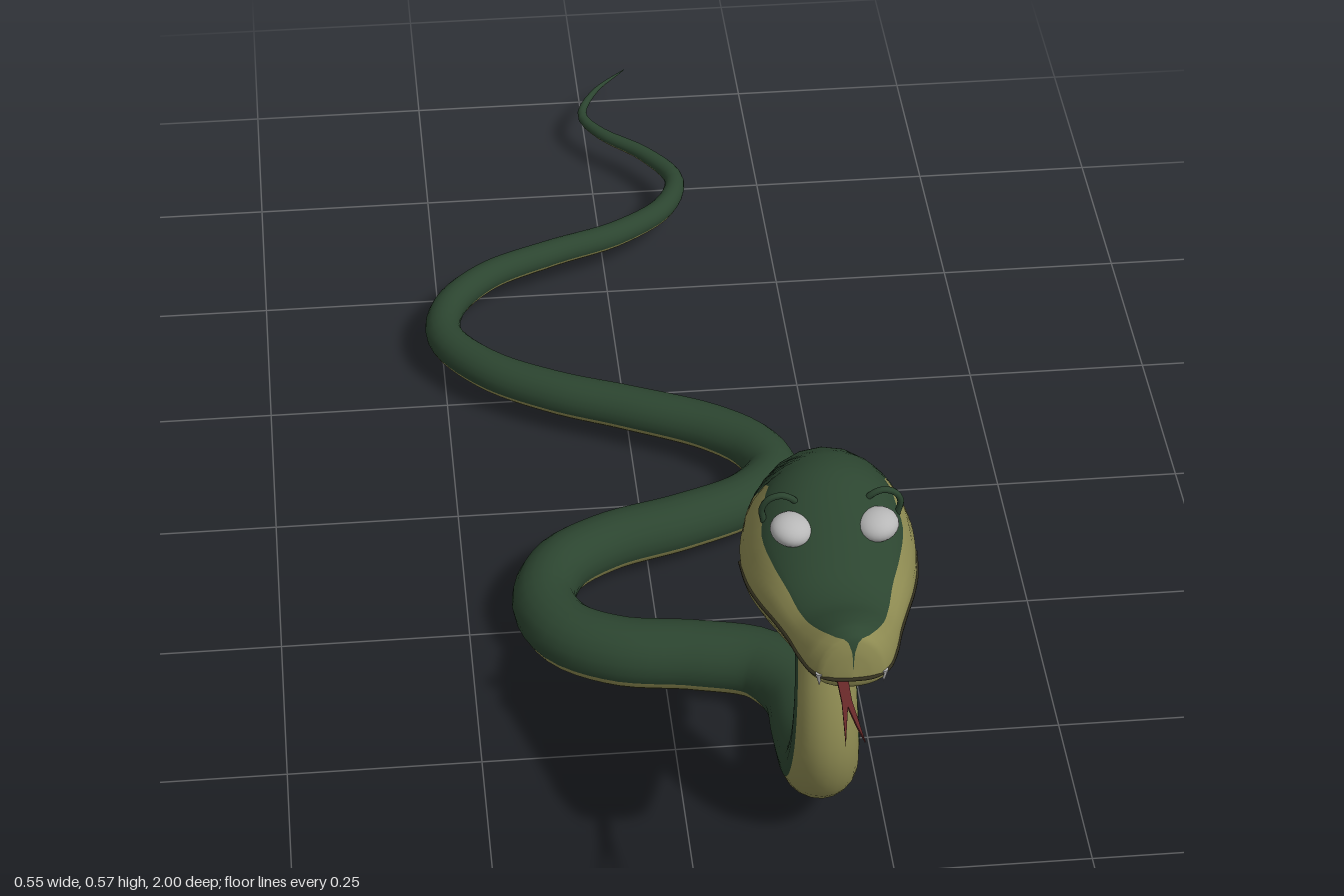
import * as THREE from 'three';

const mat = (name, color) => {
  const m = new THREE.MeshStandardMaterial({ color });
  m.name = name;
  return m;
};

const HEAD_X = 0.166;

// Lofts rings of points; each ring is split at an angle into belly (group 0) and back (group 1).
function loft(rings, a, b) {
  const n = 2 * a + b, pos = [], belly = [], back = [];
  const { lerp } = THREE.MathUtils;
  rings.forEach(({ split, point }) => {
    for (let j = 0; j < n; j++) {
      let t;
      if (j <= a) t = lerp(-Math.PI / 2, split, j / a);
      else if (j <= a + b) t = lerp(split, Math.PI - split, (j - a) / b);
      else t = lerp(Math.PI - split, 1.5 * Math.PI, (j - a - b) / a);
      pos.push(...point(t));
    }
  });
  for (let i = 0; i < rings.length - 1; i++) {
    for (let j = 0; j < n; j++) {
      const k = (j + 1) % n, p = i * n, q = p + n;
      const out = j >= a && j < a + b ? back : belly;
      out.push(p + j, p + k, q + j, p + k, q + k, q + j);
    }
  }
  const geo = new THREE.BufferGeometry();
  geo.setAttribute('position', new THREE.Float32BufferAttribute(pos, 3));
  geo.setIndex([...belly, ...back]);
  geo.addGroup(0, belly.length, 0);
  geo.addGroup(belly.length, back.length, 1);
  geo.computeVertexNormals();
  return geo;
}

// Raised neck followed by the winding body on the ground.
function bodyGeometry() {
  const neck = [[0.425, 0.63], [0.37, 0.645], [0.3, 0.664], [0.23, 0.685], [0.17, 0.687],
    [0.115, 0.662], [0.075, 0.61], [0.055, 0.54]];
  const ground = [[0.163, 0.46], [0.125, 0.4], [0.04, 0.373], [-0.06, 0.355], [-0.125, 0.315],
    [-0.15, 0.25], [-0.125, 0.18], [-0.06, 0.135], [0.05, 0.1], [0.14, 0.06], [0.183, 0.005],
    [0.165, -0.05], [0.11, -0.1], [0, -0.155], [-0.1, -0.2], [-0.19, -0.26], [-0.246, -0.34],
    [-0.238, -0.41], [-0.18, -0.48], [-0.08, -0.53], [0.02, -0.57], [0.095, -0.63],
    [0.118, -0.7], [0.08, -0.77], [0.02, -0.83], [-0.005, -0.88], [0.02, -0.945], [0.07, -1]];
  const curve = new THREE.CatmullRomCurve3([
    ...neck.map(([y, z]) => new THREE.Vector3(HEAD_X, y, z)),
    ...ground.map(([x, z]) => new THREE.Vector3(x, 0.051 - 0.006 * z, z)),
  ]);
  const { smoothstep } = THREE.MathUtils;
  const rings = [], count = 170;
  for (let i = 0; i <= count; i++) {
    const c = curve.getPointAt(i / count), T = curve.getTangentAt(i / count);
    const r = c.z > 0.42
      ? 0.047 - 0.01 * smoothstep(c.y, 0.05, 0.32)
      : 0.047 * Math.pow(Math.max(0, (c.z + 1) / 1.42), 0.8) + 0.0005;
    // The back points up on the ground and backwards on the neck
    const k = smoothstep(c.y, 0.05, 0.24);
    const N = new THREE.Vector3(0, 1 - k, -k).addScaledVector(T, -(T.y * (1 - k) - T.z * k)).normalize();
    const S = new THREE.Vector3().crossVectors(N, T);
    rings.push({
      split: -0.34,
      point: t => c.clone().addScaledVector(S, r * Math.cos(t)).addScaledVector(N, r * Math.sin(t)).toArray(),
    });
  }
  return loft(rings, 4, 12);
}

// Head sections: z, half width, top, mouth height, bottom, colour split angle
const SECTIONS = [
  [0.55, 0.001, 0.476, 0.475, 0.474, -1.57],
  [0.554, 0.036, 0.512, 0.472, 0.436, -1.57],
  [0.57, 0.07, 0.541, 0.462, 0.405, -1.57],
  [0.59, 0.087, 0.555, 0.453, 0.386, -1.3],
  [0.612, 0.098, 0.564, 0.448, 0.376, 0.5],
  [0.65, 0.106, 0.567, 0.445, 0.369, 0.75],
  [0.69, 0.104, 0.553, 0.443, 0.372, 0.62],
  [0.73, 0.095, 0.528, 0.445, 0.383, 0.65],
  [0.77, 0.082, 0.505, 0.45, 0.395, 0.72],
  [0.81, 0.068, 0.5, 0.453, 0.408, 0.72],
  [0.85, 0.056, 0.51, 0.451, 0.42, 0.85],
  [0.873, 0.044, 0.508, 0.449, 0.428, 1.1],
  [0.886, 0.026, 0.488, 0.449, 0.437, 1.5],
  [0.89, 0.001, 0.452, 0.45, 0.449, 1.57],
];
const sectionAt = new THREE.CubicInterpolant(
  SECTIONS.map(s => s[0]), SECTIONS.flatMap(s => s.slice(1)), 5);

function headRing(z) {
  const [w, top, mid, bottom, split] = sectionAt.evaluate(z);
  return {
    split: THREE.MathUtils.clamp(split, -1.57, 1.57),
    point: t => {
      const s = Math.sin(t);
      return [HEAD_X + w * Math.cos(t), mid + s * (s > 0 ? top - mid : mid - bottom), z];
    },
  };
}

function headGeometry() {
  const rings = [];
  for (let i = 0; i < SECTIONS.length - 1; i++)
    for (let k = 0; k < 4; k++)
      rings.push(headRing(THREE.MathUtils.lerp(SECTIONS[i][0], SECTIONS[i + 1][0], k / 4)));
  rings.push(headRing(0.89));
  return loft(rings, 10, 18);
}

// Line of the closed lips, round the snout from cheek to cheek
function mouthGeometry() {
  const right = [0.66, 0.7, 0.74, 0.78, 0.82, 0.85, 0.873, 0.886].map(z => headRing(z));
  const pts = [
    ...right.map(r => r.point(0)), [HEAD_X, 0.45, 0.89],
    ...right.reverse().map(r => r.point(Math.PI)),
  ].map(p => new THREE.Vector3(...p));
  return new THREE.TubeGeometry(new THREE.CatmullRomCurve3(pts), 80, 0.0025, 6);
}

// Forked tongue, a thin flat strip
function tongueGeometry() {
  const shape = new THREE.Shape([[-0.007, 0.85], [0.007, 0.85], [0.006, 0.925], [0.012, 0.995],
    [0.006, 0.97], [0, 0.935], [-0.006, 0.97], [-0.011, 1], [-0.006, 0.925]]
    .map(([x, z]) => new THREE.Vector2(x, z)));
  const geo = new THREE.ExtrudeGeometry(shape, { depth: 0.004, bevelEnabled: false });
  geo.rotateX(Math.PI / 2);
  return geo.translate(0.154, 0.449, 0);
}

export function createModel() {
  const green = mat('dark green scales', 0x2c4530);
  const yellow = mat('olive yellow belly', 0x8e8b52);
  const white = mat('pale grey', 0xb8b8b8);
  const red = mat('dark red', 0x6a2a2a);
  const dark = mat('dark lip line', 0x33301f);

  const model = new THREE.Group();
  model.name = 'snake';
  const add = (name, geo, material) => {
    const mesh = new THREE.Mesh(geo, material);
    mesh.name = name;
    model.add(mesh);
    return mesh;
  };

  add('body', bodyGeometry(), [yellow, green]);
  add('head', headGeometry(), [yellow, green]);
  add('mouthLine', mouthGeometry(), dark);
  add('tongue', tongueGeometry(), red);

  for (const side of [1, -1]) {
    const name = side > 0 ? 'left' : 'right';
    const x = o => HEAD_X + side * o;

    const eye = add(name + 'Eye', new THREE.SphereGeometry(1, 24, 16), white);
    eye.scale.set(0.026, 0.018, 0.026);
    eye.position.set(x(0.051), 0.528, 0.705);
    eye.rotation.z = side * 0.12;

    // Arched brow standing over the eye
    const arch = new THREE.CatmullRomCurve3([[0.08, 0.515, 0.672], [0.083, 0.537, 0.674],
      [0.075, 0.552, 0.676], [0.06, 0.557, 0.677], [0.046, 0.55, 0.677], [0.04, 0.54, 0.675]]
      .map(([o, y, z]) => new THREE.Vector3(x(o), y, z)));
    add(name + 'Brow', new THREE.TubeGeometry(arch, 24, 0.004, 8), green);

    const fang = add(name + 'Fang', new THREE.ConeGeometry(0.005, 0.02, 10), white);
    fang.position.set(x(0.038), 0.443, 0.878);
    fang.rotation.x = Math.PI;
  }
  return model;
}
